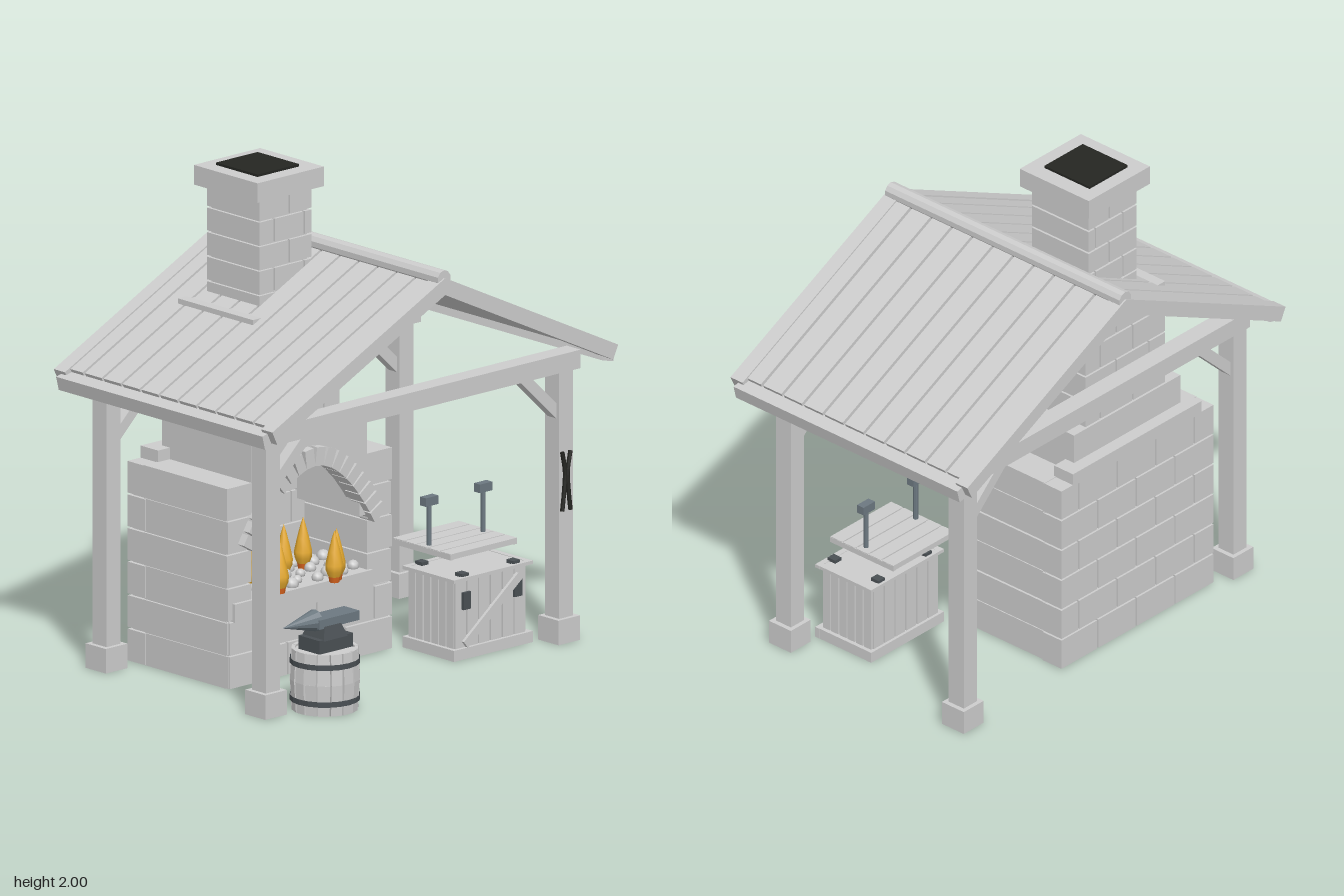
import * as THREE from 'three';

const paint = (color, flatShading = true) => new THREE.MeshStandardMaterial({ color, flatShading, side: THREE.DoubleSide });
const grey = paint(0xcccccc), smoothGrey = paint(0xcccccc, false), iron = paint(0x4a5054), steel = paint(0x6c7880);
const black = paint(0x252622), gold = paint(0xe8ac30, false), ember = paint(0xd9641e, false);

function add(parent, name, geo, x = 0, y = 0, z = 0, mat = grey) {
  const m = new THREE.Mesh(geo, mat);
  m.name = name;
  m.position.set(x, y, z);
  parent.add(m);
  return m;
}

// Box given by its min and max on each axis
function box(parent, name, x0, x1, y0, y1, z0, z1, mat = grey) {
  return add(parent, name, new THREE.BoxGeometry(x1 - x0, y1 - y0, z1 - z0),
    (x0 + x1) / 2, (y0 + y1) / 2, (z0 + z1) / 2, mat);
}

function group(parent, name, x = 0, y = 0, z = 0) {
  const g = new THREE.Group();
  g.name = name;
  g.position.set(x, y, z);
  parent.add(g);
  return g;
}

// Running-bond brickwork from x0 to x1, with its front at z1 and its back at z0
function bricks(parent, name, x0, x1, y0, y1, z0, z1, rows, brickW) {
  const g = group(parent, name), h = (y1 - y0) / rows, gap = 0.004;
  for (let r = 0; r < rows; r++) {
    for (let a = x0 - (r % 2) * brickW / 2; a < x1 - 0.01; a += brickW) {
      const l = Math.max(a, x0), e = Math.min(a + brickW, x1);
      if (e - l < 0.025) continue;
      box(g, 'brick', l + (l > x0 ? gap : 0), e - (e < x1 ? gap : 0),
        y0 + r * h + gap, y0 + (r + 1) * h - gap, z0, z1);
    }
  }
}

// Brick stack: full-depth bricks around a slightly smaller core
function brickStack(parent, name, x0, x1, y0, y1, z0, z1, rows, brickW) {
  const g = group(parent, name), i = 0.012;
  box(g, 'core', x0 + i, x1 - i, y0, y1 - i, z0 + i, z1 - i);
  bricks(g, 'courses', x0, x1, y0, y1, z0, z1, rows, brickW);
}

function buildFrame(root) {
  const g = group(root, 'timberFrame');
  for (const z of [0.42, -0.495]) {
    for (const s of [-1, 1]) {
      const x = s * 0.787 - 0.01;
      box(g, 'post', x - 0.038, x + 0.038, 0.05, 1.1, z - 0.04, z + 0.04);
      box(g, 'postFoot', x - 0.058, x + 0.058, 0, 0.1, z - 0.058, z + 0.058);
      const brace = add(g, 'brace', new THREE.BoxGeometry(0.29, 0.045, 0.05), s * 0.67 - 0.01, 1.02, z);
      brace.rotation.z = -s * 0.76;
    }
    box(g, 'tieBeam', -0.855, 0.855, 1.1, 1.175, z - 0.04, z + 0.04);
  }
}

function buildRoof(root) {
  const g = group(root, 'roof', 0, 1.655, -0.03), slope = 0.451;
  for (const s of [-1, 1]) {
    const side = group(g, 'roofSlope');
    side.rotation.z = -s * slope;
    const part = (name, d0, d1, y0, y1, z0, z1) =>
      box(side, name, Math.min(s * d0, s * d1), Math.max(s * d0, s * d1), y0, y1, z0, z1);
    part('deck', 0, 1.0, -0.045, -0.02, -0.6, 0.6);
    const n = 11, w = 1.19 / n;
    for (let i = 0; i < n; i++) {
      part('plank', 0, 1.0, -0.03, -0.002, -0.595 + i * w + 0.006, -0.595 + (i + 1) * w - 0.006);
    }
    for (const e of [-1, 1]) part('bargeBoard', 0, 1.03, -0.058, 0.004, e * 0.595 - 0.032, e * 0.595 + 0.032);
    const eave = box(g, 'eaveBoard', -0.031, 0.031, -0.029, 0.029, -0.592, 0.592);
    eave.position.set(s * 0.912, -0.486, 0);
    eave.rotation.z = -s * 0.25;
  }
  add(g, 'ridgePole', new THREE.CylinderGeometry(0.035, 0.035, 1.24, 10), 0, 0, 0).rotation.x = Math.PI / 2;
}

function buildForge(root) {
  const g = group(root, 'brickForge'), mid = -0.227;
  // Base and hearth
  box(g, 'baseCore', -0.655, 0.2, 0, 0.275, -0.43, 0.055);
  bricks(g, 'baseBricks', -0.662, 0.208, 0, 0.275, 0.03, 0.07, 2, 0.31);
  box(g, 'hearthSlab', -0.64, 0.1, 0.27, 0.345, -0.42, 0.075);
  // Side piers, laid in full-depth courses
  for (const s of [-1, 1]) {
    const px = mid + s * 0.378;
    box(g, 'pierCore', px - 0.055, px + 0.055, 0, 0.81, -0.42, 0.045);
    for (let r = 0; r < 6; r++) {
      const out = mid + s * (r % 2 ? 0.443 : 0.438), inn = mid + s * 0.31;
      box(g, 'pierCourse', Math.min(out, inn), Math.max(out, inn),
        r * 0.137 + 0.004, (r + 1) * 0.137 - 0.004, -0.42, 0.06);
    }
    const wx = mid + s * 0.29;
    box(g, 'hoodSide', wx - 0.02, wx + 0.02, 0.57, 0.99, -0.44, 0.058);
  }
  // Back walls
  box(g, 'backCore', -0.655, 0.2, 0, 0.81, -0.495, -0.4);
  bricks(g, 'backBricks', -0.67, 0.217, 0, 0.82, -0.51, -0.41, 6, 0.225);
  box(g, 'backCap', -0.6, 0.15, 0.81, 0.865, -0.51, -0.41);
  box(g, 'hoodBack', -0.537, 0.083, 0.8, 0.99, -0.455, -0.34);
  box(g, 'fireboxCore', -0.537, 0.083, 0.34, 0.9, -0.4, -0.315);
  bricks(g, 'fireboxBricks', -0.537, 0.083, 0.345, 0.87, -0.33, -0.3, 4, 0.22);
  box(g, 'hoodTop', -0.537, 0.083, 0.87, 0.99, -0.455, 0.055);
  // Arched front
  const shape = new THREE.Shape();
  shape.moveTo(mid - 0.31, 0.57);
  shape.quadraticCurveTo(mid, 1.11, mid + 0.31, 0.57);
  shape.lineTo(mid + 0.31, 0.99);
  shape.lineTo(mid - 0.31, 0.99);
  add(g, 'archWall', new THREE.ExtrudeGeometry(shape, { depth: 0.08, bevelEnabled: false }), 0, 0, -0.02);
  const arc = new THREE.QuadraticBezierCurve(new THREE.Vector2(mid - 0.34, 0.583),
    new THREE.Vector2(mid, 1.157), new THREE.Vector2(mid + 0.34, 0.583));
  for (let i = 0; i < 18; i++) {
    const u = i / 17, p = arc.getPointAt(u), t = arc.getTangentAt(u);
    add(g, 'archStone', new THREE.BoxGeometry(0.046, 0.075, 0.085), p.x, p.y, 0.052).rotation.z = Math.atan2(t.y, t.x);
  }
  // Chimney
  brickStack(g, 'chimneyBase', -0.46, 0.005, 0.985, 1.455, -0.445, -0.015, 4, 0.19);
  brickStack(g, 'chimneyStack', -0.365, -0.085, 1.42, 1.92, -0.38, -0.08, 5, 0.16);
  box(g, 'chimneyCap', -0.403, -0.047, 1.91, 1.99, -0.415, -0.05);
  box(g, 'flueOpening', -0.34, -0.117, 1.98, 2, -0.355, -0.117, black);
}

function buildFire(root) {
  const g = group(root, 'fire', 0, 0.345, 0);
  const profile = [[0.018, 0.01], [0.034, 0.045], [0.036, 0.07], [0.024, 0.125], [0.01, 0.18], [0, 0.21]]
    .map(([r, y]) => new THREE.Vector2(r, y));
  const spots = [[-0.47, -0.05], [-0.395, 0.07], [-0.32, -0.06], [-0.28, -0.19],
    [-0.215, -0.1], [-0.13, 0.1], [-0.1, 0.08], [-0.085, -0.128]];
  for (const [x, z] of spots) {
    add(g, 'flame', new THREE.LatheGeometry(profile, 8), x, 0, z, gold);
    add(g, 'flameBase', new THREE.CylinderGeometry(0.024, 0.02, 0.025, 8), x, 0.012, z, ember);
  }
  for (let i = 0; i < 24; i++) {
    add(g, 'coal', new THREE.SphereGeometry(0.02 + (i % 3) * 0.004, 8, 6),
      -0.46 + (i % 8) * 0.073 + (i % 3) * 0.008, 0.01, 0.035 - Math.floor(i / 8) * 0.09 - (i % 2) * 0.03, smoothGrey);
  }
}

function buildAnvil(root) {
  const g = group(root, 'anvilOnBarrel', -0.565, 0, 0.51);
  add(g, 'barrelCore', new THREE.LatheGeometry([[0, 0], [0.12, 0], [0.128, 0.12], [0.12, 0.24], [0, 0.24]]
    .map(([r, y]) => new THREE.Vector2(r, y)), 16));
  for (let i = 0; i < 16; i++) {
    const a = i / 16 * Math.PI * 2;
    for (const e of [-1, 1]) {
      const stave = add(g, 'stave', new THREE.BoxGeometry(0.046, 0.125, 0.014),
        Math.sin(a) * 0.127, 0.125 + e * 0.062, Math.cos(a) * 0.127);
      stave.rotation.set(-e * 0.06, a, 0, 'YXZ');
    }
  }
  for (const y of [0.05, 0.2]) add(g, 'hoop', new THREE.CylinderGeometry(0.139, 0.139, 0.022, 20, 1, true), 0, y, 0, iron);
  box(g, 'anvilFoot', -0.085, 0.095, 0.245, 0.3, -0.06, 0.06, iron);
  add(g, 'anvilWaist', new THREE.CylinderGeometry(0.06, 0.09, 0.06, 4).rotateY(Math.PI / 4), 0, 0.325, 0, iron);
  box(g, 'anvilFace', -0.07, 0.145, 0.34, 0.378, -0.045, 0.045, steel);
  add(g, 'anvilHorn', new THREE.ConeGeometry(0.045, 0.175, 12), -0.14, 0.367, 0, steel).rotation.z = Math.PI / 2;
}

function buildCrate(root) {
  const g = group(root, 'crateAndBench');
  box(g, 'crateCore', 0.29, 0.645, 0.01, 0.32, 0.105, 0.345);
  box(g, 'crateUnderside', 0.285, 0.65, 0.002, 0.01, 0.1, 0.35, black);
  for (let i = 0; i < 6; i++) {
    const x = 0.277 + i * 0.0635;
    for (const z of [0.1, 0.35]) box(g, 'slat', x, x + 0.056, 0.02, 0.32, z - 0.01, z + 0.01);
    const z = 0.095 + i * 0.0435;
    for (const x2 of [0.283, 0.652]) box(g, 'slat', x2 - 0.01, x2 + 0.01, 0.02, 0.32, z, z + 0.037);
  }
  for (const [y0, y1] of [[0, 0.045], [0.318, 0.332]]) {
    for (const z of [0.09, 0.362]) box(g, 'rail', 0.255, 0.68, y0, y1, z - 0.012, z + 0.012);
    for (const x of [0.268, 0.667]) box(g, 'rail', x - 0.012, x + 0.012, y0, y1, 0.08, 0.374);
  }
  box(g, 'crateLid', 0.262, 0.675, 0.318, 0.33, 0.082, 0.372);
  add(g, 'diagonalBrace', new THREE.BoxGeometry(0.37, 0.035, 0.016), 0.467, 0.17, 0.365).rotation.z = 0.66;
  for (const x of [0.33, 0.605]) {
    box(g, 'cornerPlate', x - 0.02, x + 0.02, 0.2, 0.27, 0.36, 0.372, iron);
    for (const z of [0.11, 0.34]) box(g, 'lidStud', x - 0.018, x + 0.018, 0.33, 0.344, z - 0.02, z + 0.02, iron);
  }
  // Bench top with two upright hammers
  for (let i = 0; i < 5; i++) {
    const z = 0.02 + i * 0.068;
    box(g, 'benchPlank', 0.255, 0.61, 0.412, 0.435, z + 0.003, z + 0.065);
  }
  for (const x of [0.262, 0.603]) box(g, 'benchCleat', x - 0.008, x + 0.008, 0.41, 0.432, 0.023, 0.357);
  for (const x of [0.285, 0.575]) {
    add(g, 'hammerHandle', new THREE.CylinderGeometry(0.01, 0.01, 0.17, 8), x, 0.52, 0.2, steel);
    box(g, 'hammerHead', x - 0.033, x + 0.033, 0.6, 0.635, 0.183, 0.217, steel);
  }
}

// Tongs hanging on the front left post
function buildTongs(root) {
  const g = group(root, 'tongs', 0.767, 0, 0.472);
  for (const s of [-1, 1]) {
    const pts = [[0.022, 0.78], [0.007, 0.7], [0.012, 0.62], [0.022, 0.54]].map(([x, y]) => new THREE.Vector3(s * x, y, 0));
    add(g, 'tongArm', new THREE.TubeGeometry(new THREE.CatmullRomCurve3(pts), 10, 0.009, 6), 0, 0, 0, black);
  }
}

export function createModel() {
  const root = new THREE.Group();
  root.name = 'blacksmithForge';
  for (const build of [buildFrame, buildRoof, buildForge, buildFire, buildAnvil, buildCrate, buildTongs]) build(root);
  return root;
}
